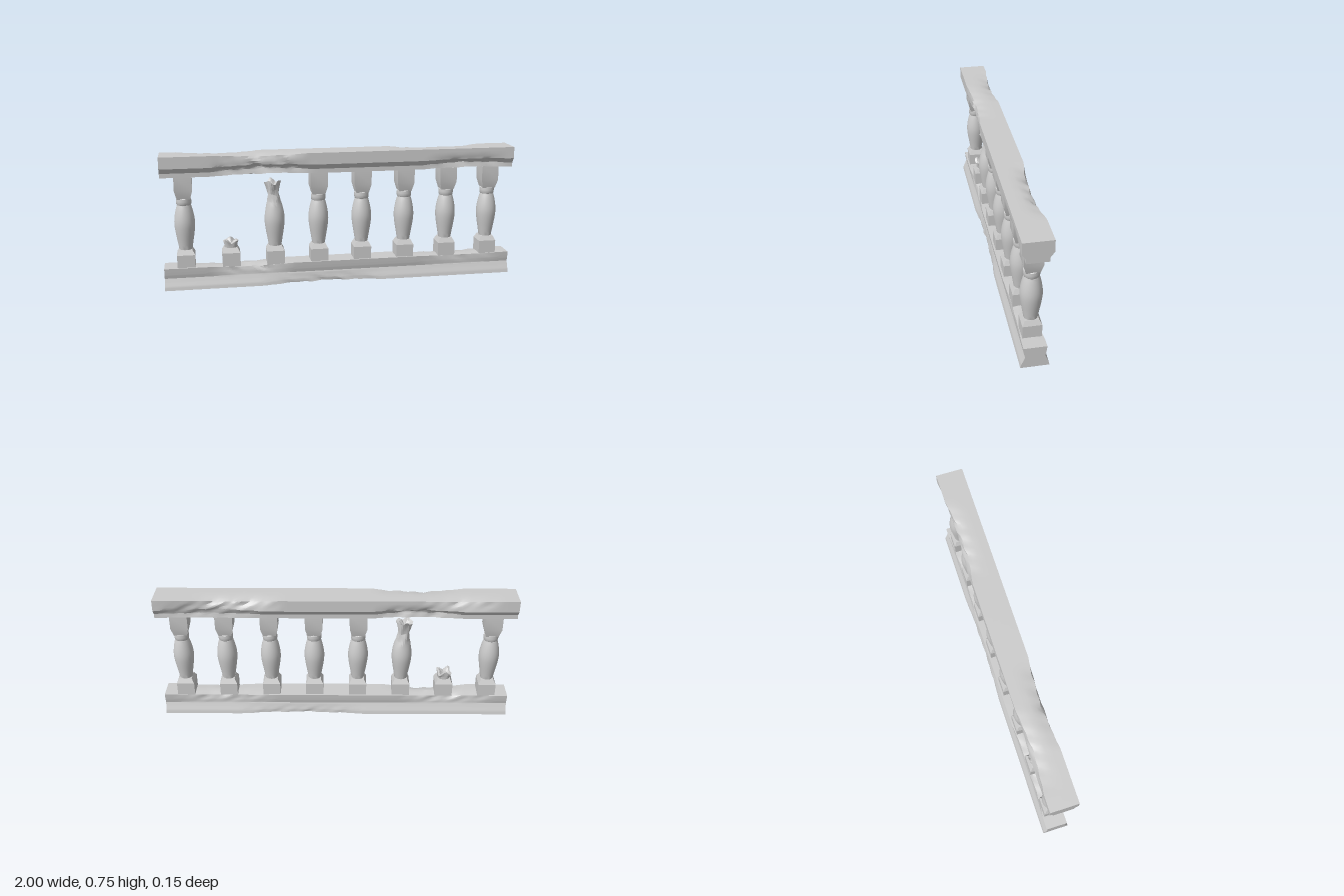
import * as THREE from 'three';
import { toCreasedNormals } from 'three/addons/utils/BufferGeometryUtils.js';

const stone = new THREE.MeshStandardMaterial({ color: 0xcccccc });
const V = (x, y) => new THREE.Vector2(x, y);

function addMesh(parent, geometry, name, crease = 0.5) {
  const mesh = new THREE.Mesh(toCreasedNormals(geometry, crease), stone);
  mesh.name = name;
  parent.add(mesh);
  return mesh;
}

// Moves every vertex by a rule that depends only on its position
function reshape(geometry, rule) {
  const p = geometry.attributes.position;
  const v = new THREE.Vector3();
  for (let i = 0; i < p.count; i++) {
    rule(v.fromBufferAttribute(p, i));
    p.setXYZ(i, v.x, v.y, v.z);
  }
  return geometry;
}

// Rail: half profile [z, y] mirrored, run along x, with worn edges
// chip: [centre x, half length, corner y, corner z, depth]
function rail(half, chips) {
  const corners = [...half.map(([z, y]) => V(z, y)), ...half.map(([z, y]) => V(-z, y)).reverse()];
  const outline = [];
  corners.forEach((a, i) => {
    const b = corners[(i + 1) % corners.length];
    for (let k = 0; k < 4; k++) outline.push(a.clone().lerp(b, k / 4));
  });
  const geometry = new THREE.ExtrudeGeometry(new THREE.Shape(outline), { depth: 2, steps: 90, bevelEnabled: false });
  geometry.translate(0, 0, -1).rotateY(Math.PI / 2);
  const midY = (half[0][1] + half.at(-1)[1]) / 2;
  return reshape(geometry, (v) => {
    const { x, y, z } = v;
    for (const [cx, w, cy, cz, depth] of chips) {
      const along = Math.max(0, 1 - ((x - cx) / w) ** 2);
      const near = Math.max(0, 1 - Math.hypot(y - cy, z - cz) / 0.06);
      const rough = 0.75 + 0.25 * Math.sin(x * 47 + y * 90) * Math.cos(x * 19 + z * 40);
      const move = depth * along * near * rough;
      v.y += Math.sign(midY - cy) * move * 0.6;
      v.z -= Math.sign(cz) * move;
    }
  });
}

// Square section turned from [half width, y] steps
function squarePost(steps) {
  const points = steps.map(([h, y]) => V(h * Math.SQRT2, y));
  return new THREE.LatheGeometry(points, 4, Math.PI / 4);
}

const round = (points) => new THREE.LatheGeometry(points.map(([r, y]) => V(r, y)), 24);

// Rounded belly of the baluster
const belly = new THREE.SplineCurve([
  V(0.036, 0.222), V(0.044, 0.27), V(0.053, 0.325), V(0.057, 0.37), V(0.054, 0.41), V(0.046, 0.45), V(0.038, 0.478),
]).getPoints(18).map((p) => [p.x, p.y]);

const plinth = [[0, 0.12], [0.05, 0.12], [0.05, 0.197], [0.036, 0.224], [0, 0.224]];
const capital = [[0, 0.513], [0.036, 0.513], [0.049, 0.562], [0.049, 0.645], [0, 0.645]];
const collar = [[0.041, 0.483], [0.042, 0.499], [0.041, 0.513], [0.035, 0.518]];

// Ragged fracture above a given height
function fracture(geometry, from, to, amount, lean) {
  return reshape(geometry, (v) => {
    const t = THREE.MathUtils.clamp((v.y - from) / (to - from), 0, 1);
    const a = Math.atan2(v.z, v.x);
    const r = Math.hypot(v.x, v.z);
    const rag = Math.sin(3 * a + 0.6) + 0.5 * Math.sin(5 * a + v.y * 60);
    const squeeze = 1 + t * 0.14 * Math.sin(4 * a + v.y * 45);
    v.x = v.x * squeeze + lean * t;
    v.z *= squeeze;
    v.y += t * amount * rag * Math.min(1, r / 0.03);
  });
}

function baluster(kind) {
  const group = new THREE.Group();
  addMesh(group, squarePost(plinth), 'balusterPlinth', 0.3);
  if (kind === 'stub') {
    const stub = round([[0.036, 0.222], [0.038, 0.238], [0.043, 0.26], [0.03, 0.262], [0.015, 0.25], [0, 0.245]]);
    addMesh(group, fracture(stub, 0.225, 0.26, 0.009, 0), 'brokenStub', 0.35);
  } else if (kind === 'broken') {
    const shaft = round([
      ...belly, [0.036, 0.50], [0.031, 0.52], [0.035, 0.55], [0.043, 0.59], [0.028, 0.585], [0.012, 0.57], [0, 0.565],
    ]);
    addMesh(group, fracture(shaft, 0.43, 0.59, 0.009, -0.008), 'brokenShaft', 0.35);
  } else {
    addMesh(group, round([...belly, ...collar]), 'balusterShaft', 0.6);
    addMesh(group, squarePost(capital), 'balusterCapital', 0.3);
  }
  return group;
}

export function createModel() {
  const model = new THREE.Group();
  model.name = 'balustrade';

  // Handrail, wider at the top with a sloped underside
  addMesh(model, rail(
    [[0.057, 0.64], [0.057, 0.664], [0.077, 0.692], [0.077, 0.757]],
    [
      [-0.45, 0.25, 0.757, 0.077, 0.025], [-0.45, 0.28, 0.67, 0.065, 0.03], [0.72, 0.25, 0.665, 0.06, 0.022],
      [0.56, 0.27, 0.757, -0.077, 0.035], [-0.68, 0.22, 0.757, -0.077, 0.025],
      [-0.45, 0.25, 0.67, -0.065, 0.025], [0.7, 0.3, 0.69, -0.077, 0.02],
    ],
  ), 'handrail');

  // Base rail with a hollowed side
  addMesh(model, rail(
    [[0.074, 0.003], [0.07, 0.022], [0.058, 0.05], [0.051, 0.068], [0.056, 0.09], [0.06, 0.126]],
    [
      [-0.52, 0.24, 0.126, 0.06, 0.025], [-0.1, 0.35, 0.003, 0.074, 0.02], [0.7, 0.25, 0.126, 0.06, 0.012],
      [-0.65, 0.28, 0.126, -0.06, 0.025], [0.65, 0.3, 0.126, -0.06, 0.02], [0.2, 0.35, 0.003, -0.074, 0.015],
    ],
  ), 'baseRail');

  // Row of balusters, two of them broken
  const kinds = { 1: 'stub', 2: 'broken' };
  for (let i = 0; i < 8; i++) {
    const post = baluster(kinds[i] ?? 'whole');
    post.name = `baluster${i + 1}`;
    post.position.x = -0.877 + i * 0.25;
    model.add(post);
  }
  return model;
}
